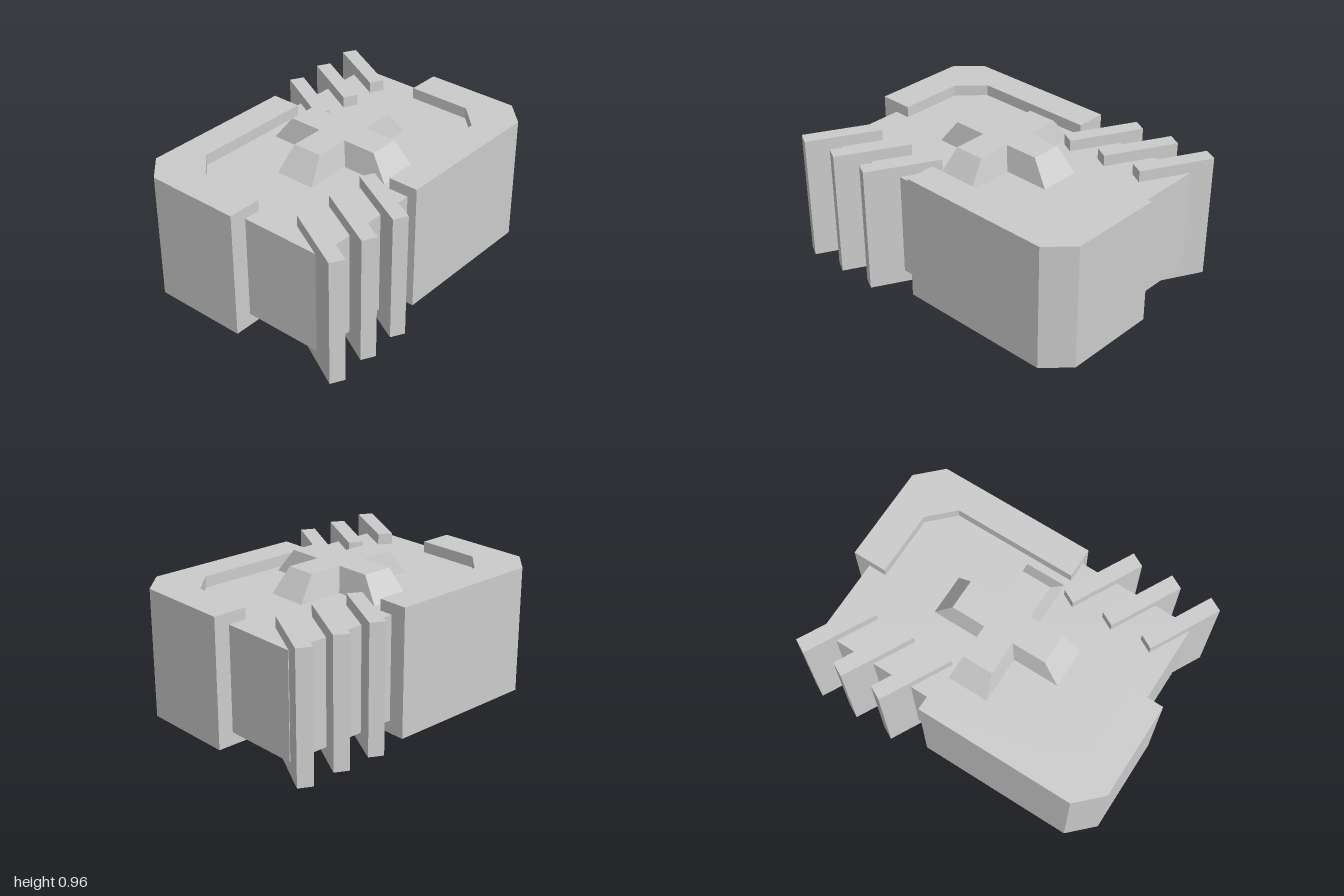
import * as THREE from 'three';

const material = new THREE.MeshStandardMaterial({ color: 0xcccccc, flatShading: true });

// Upright prism from a plan outline given as [x, z] points
function prism(points, y0, y1, steps = 1) {
  const shape = new THREE.Shape(points.map(([x, z]) => new THREE.Vector2(x, -z)));
  const geometry = new THREE.ExtrudeGeometry(shape, { depth: y1 - y0, steps, bevelEnabled: false });
  return geometry.rotateX(-Math.PI / 2).translate(0, y0, 0);
}

// Cross-shaped boss that tapers where it leaves the core, above and below
function crossGeometry() {
  const a = 0.128, r = 0.42;
  const quarter = [[r, -a], [r, a], [a, a]];
  const points = [];
  for (let i = 0; i < 4; i++) {
    const c = [1, 0, -1, 0][i], s = [0, 1, 0, -1][i];
    for (const [x, z] of quarter) points.push([x * c - z * s, x * s + z * c]);
  }
  const geometry = prism(points, 0, 3, 3);
  const heights = [0, 0.16, 0.81, 0.96];
  const p = geometry.attributes.position;
  const taper = v => Math.sign(v) * (Math.abs(v) > 0.3 ? 0.31 : 0.095);
  for (let i = 0; i < p.count; i++) {
    const level = Math.round(p.getY(i));
    if (level === 0 || level === 3) {
      p.setX(i, taper(p.getX(i)));
      p.setZ(i, taper(p.getZ(i)));
    }
    p.setY(i, heights[level]);
  }
  geometry.computeVertexNormals();
  return geometry;
}

export function createModel() {
  const model = new THREE.Group();
  model.name = 'finnedBlock';
  const add = (name, geometry, x = 0, y = 0, z = 0) => {
    const mesh = new THREE.Mesh(geometry, material);
    mesh.name = name;
    mesh.position.set(x, y, z);
    model.add(mesh);
    return mesh;
  };

  // Core block
  add('core', new THREE.BoxGeometry(1.795, 0.65, 1.18), 0.005, 0.485, -0.01);

  // Chamfered L-shaped corner guards on opposite corners
  const guard = [
    [1, -0.078], [1, 0.525], [0.85, 0.672], [-0.148, 0.672],
    [-0.148, 0.48], [0.637, 0.48], [0.787, 0.33], [0.787, -0.078],
  ];
  add('frontCornerGuard', prism(guard, 0.08, 0.88), 0, 0, -0.03);
  add('backCornerGuard', prism(guard.map(([x, z]) => [-x, -z]), 0.08, 0.88), 0, 0, -0.03);

  // Three slanted cooling fins on each of the other two corners
  const fin = new THREE.BoxGeometry(0.093, 0.8, 0.47);
  for (let i = 0; i < 3; i++) {
    add('frontFin', fin, -0.832 + i * 0.26, 0.48, 0.54).rotation.y = -0.487;
    add('backFin', fin, 0.298 + i * 0.26, 0.48, -0.548).rotation.y = -0.487;
  }

  // Raised cross through the middle
  add('crossBoss', crossGeometry(), -0.005, 0, -0.017);
  return model;
}
